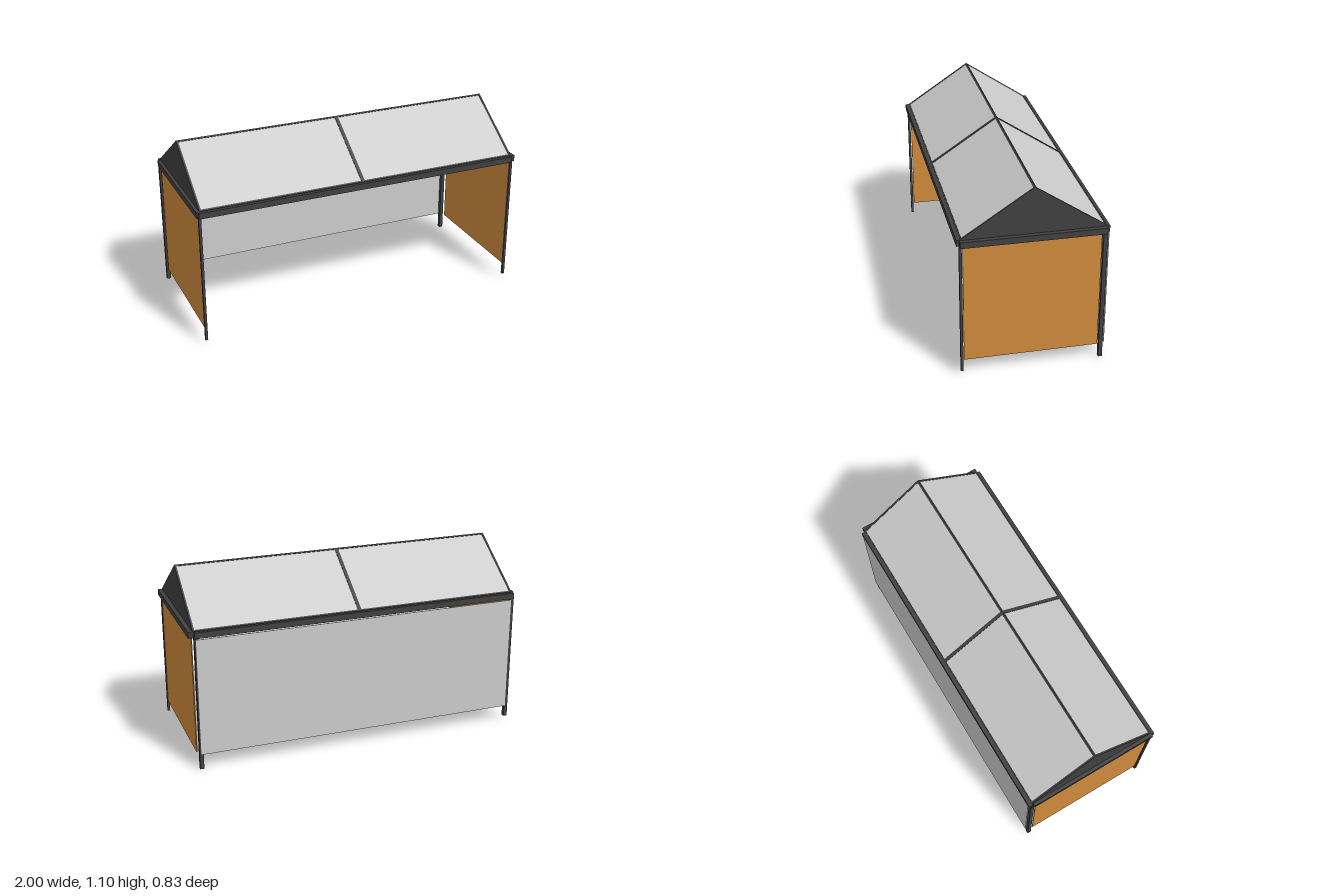
import * as THREE from 'three';

const dark = new THREE.MeshStandardMaterial({ color: 0x404040 });
const darkSheet = new THREE.MeshStandardMaterial({ color: 0x404040, side: THREE.DoubleSide });
const grey = new THREE.MeshStandardMaterial({ color: 0xcccccc });
const orange = new THREE.MeshStandardMaterial({ color: 0xd08a3c });

// Box given by its [min, max] range on each axis
function block(name, material, [x0, x1], [y0, y1], [z0, z1]) {
  const mesh = new THREE.Mesh(new THREE.BoxGeometry(x1 - x0, y1 - y0, z1 - z0), material);
  mesh.position.set((x0 + x1) / 2, (y0 + y1) / 2, (z0 + z1) / 2);
  mesh.name = name;
  return mesh;
}

export function createModel() {
  const model = new THREE.Group();
  model.name = 'shelter';
  const add = (...args) => model.add(block(...args));

  // Posts: thin at the front, sturdier at the back
  const beamY = [0.796, 0.832];
  add('frontLeftPost', dark, [0.97, 0.985], [0.025, 0.8], [0.39, 0.405]);
  add('frontRightPost', dark, [-0.99, -0.975], [0.025, 0.8], [0.39, 0.405]);
  add('backLeftPost', dark, [0.947, 0.97], [0, 0.83], [-0.405, -0.382]);
  add('backRightPost', dark, [-0.993, -0.97], [0.022, 0.8], [-0.408, -0.385]);

  // Eaves beams, each overlapping the next at the corners
  add('frontBeam', dark, [-0.99, 0.97], beamY, [0.39, 0.416]);
  add('backBeam', dark, [-0.99, 0.97], beamY, [-0.415, -0.389]);
  add('leftBeam', dark, [0.97, 1], beamY, [-0.395, 0.401]);
  add('rightBeam', dark, [-1, -0.974], beamY, [-0.385, 0.401]);

  // Wall panels
  const wallY = [0.094, 0.79];
  add('backWall', grey, [-0.973, 0.965], wallY, [-0.414, -0.409]);
  add('leftWall', orange, [0.974, 0.98], wallY, [-0.37, 0.385]);
  add('rightWall', orange, [-0.985, -0.979], wallY, [-0.37, 0.385]);

  // Roof slopes: a sheet with a frame and a middle rib
  const ridge = 1.1, eave = 0.836, half = 0.398;
  const angle = Math.atan2(ridge - eave, half);
  const len = Math.hypot(ridge - eave, half);
  const x0 = -0.98, x1 = 0.974, mid = -0.004, h = len / 2;
  for (const side of [1, -1]) {
    const slope = new THREE.Group();
    slope.name = side > 0 ? 'frontRoofSlope' : 'backRoofSlope';
    slope.position.set(0, (ridge + eave) / 2, side * half / 2);
    slope.rotation.x = side * angle;
    const frameY = [-0.011, 0];
    slope.add(
      block('roofSheet', grey, [x0 + 0.004, x1 - 0.004], [-0.008, -0.003], [-h + 0.004, h - 0.004]),
      block('ridgeBar', dark, [x0, x1], frameY, side > 0 ? [-h, -h + 0.01] : [h - 0.01, h]),
      block('eavesBar', dark, [x0, x1], frameY, side > 0 ? [h - 0.01, h] : [-h, -h + 0.01]),
      block('middleRib', dark, [mid - 0.01, mid + 0.01], frameY, [-h, h])
    );
    for (const x of [x0, x1 - 0.01]) slope.add(block('endRib', dark, [x, x + 0.01], frameY, [-h, h]));
    model.add(slope);
  }

  // Gable ends
  const triangle = new THREE.Shape([
    new THREE.Vector2(-half, 0.828), new THREE.Vector2(half, 0.828),
    new THREE.Vector2(half, eave), new THREE.Vector2(0, ridge), new THREE.Vector2(-half, eave)
  ]);
  const gableGeometry = new THREE.ExtrudeGeometry(triangle, { depth: 0.006, bevelEnabled: false });
  for (const [name, x] of [['leftGable', x1 - 0.0055], ['rightGable', x0 - 0.0005]]) {
    const gable = new THREE.Mesh(gableGeometry, darkSheet);
    gable.rotation.y = Math.PI / 2;
    gable.position.x = x;
    gable.name = name;
    model.add(gable);
  }
  return model;
}
